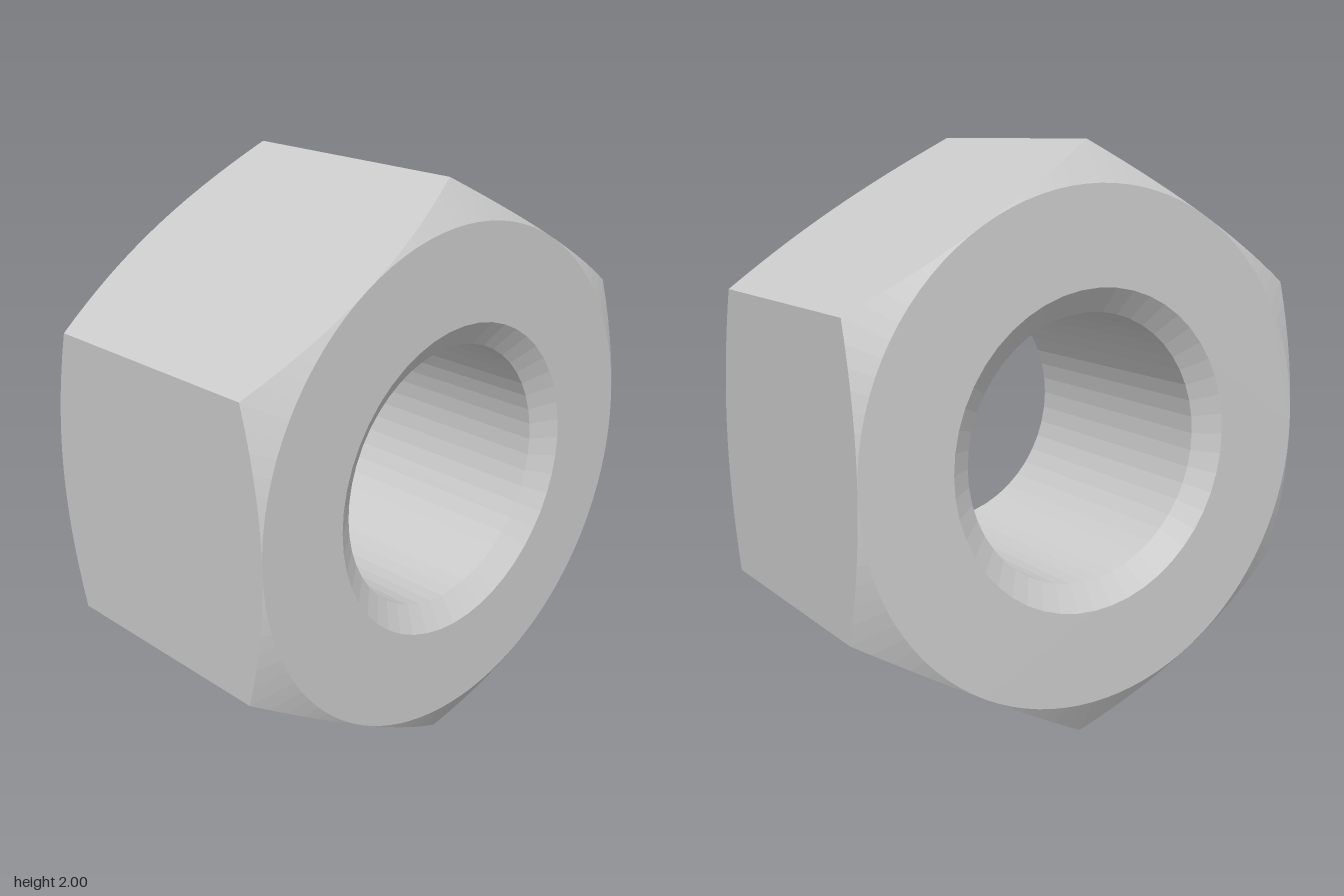
import * as THREE from 'three';

const APOTHEM = Math.sqrt(3) / 2; // hexagon with circumradius 1
const HALF = 0.507;               // half thickness
const SLOPE = Math.tan(Math.PI / 6);
const BORE = 0.455, MOUTH = 0.54, SINK = 0.06;
const OUTER_SIDES = 96, BORE_SIDES = 48;

// distance from the axis to the hexagon's outline, corners at top and bottom
function hexRadius(a) {
  const sector = Math.PI / 3;
  return APOTHEM / Math.cos(a - Math.round(a / sector) * sector);
}

// closed ring of points; radius and z are functions of the angle
function ring(sides, radius, z) {
  return Array.from({ length: sides }, (_, i) => {
    const a = (i / sides) * Math.PI * 2;
    const r = radius(a);
    return new THREE.Vector3(r * Math.cos(a), r * Math.sin(a), z(a));
  });
}

// faceted band between two rings, leaving out collapsed triangles
function loft(a, b) {
  const points = [];
  const tri = (p, q, r) => {
    if (new THREE.Triangle(p, q, r).getArea() > 1e-9) points.push(p, q, r);
  };
  a.forEach((p, i) => {
    const j = (i + 1) % a.length;
    tri(p, a[j], b[j]);
    tri(p, b[j], b[i]);
  });
  const geometry = new THREE.BufferGeometry().setFromPoints(points);
  geometry.computeVertexNormals();
  return geometry;
}

export function createModel() {
  const nut = new THREE.Group();
  nut.name = 'hexNut';
  const material = new THREE.MeshStandardMaterial({ color: 0xcccccc, flatShading: true });
  const add = (name, geometry) => {
    const mesh = new THREE.Mesh(geometry, material);
    mesh.name = name;
    mesh.position.y = 1;
    nut.add(mesh);
    return mesh;
  };

  // rings for one end: s = 1 front, s = -1 back
  const end = (s) => ({
    edge: ring(OUTER_SIDES, hexRadius, (a) => s * (HALF - (hexRadius(a) - APOTHEM) * SLOPE)),
    rim: ring(OUTER_SIDES, () => APOTHEM, () => s * HALF),
    mouth: ring(BORE_SIDES, () => MOUTH, () => s * HALF),
    bore: ring(BORE_SIDES, () => BORE, () => s * (HALF - SINK)),
  });
  const front = end(1), back = end(-1);

  // six flats, conical corner chamfers, bore and its countersinks
  add('hexSides', loft(back.edge, front.edge));
  add('frontChamfer', loft(front.edge, front.rim));
  add('backChamfer', loft(back.rim, back.edge));
  add('frontCountersink', loft(front.mouth, front.bore));
  add('bore', loft(front.bore, back.bore));
  add('backCountersink', loft(back.bore, back.mouth));

  // flat annular end faces
  const flat = (p) => new THREE.Vector2(p.x, p.y);
  const face = new THREE.Shape(front.rim.map(flat));
  face.holes.push(new THREE.Path(front.mouth.map(flat)));
  const faceGeometry = new THREE.ShapeGeometry(face).translate(0, 0, HALF);
  add('frontFace', faceGeometry);
  add('backFace', faceGeometry).rotation.y = Math.PI;

  return nut;
}
